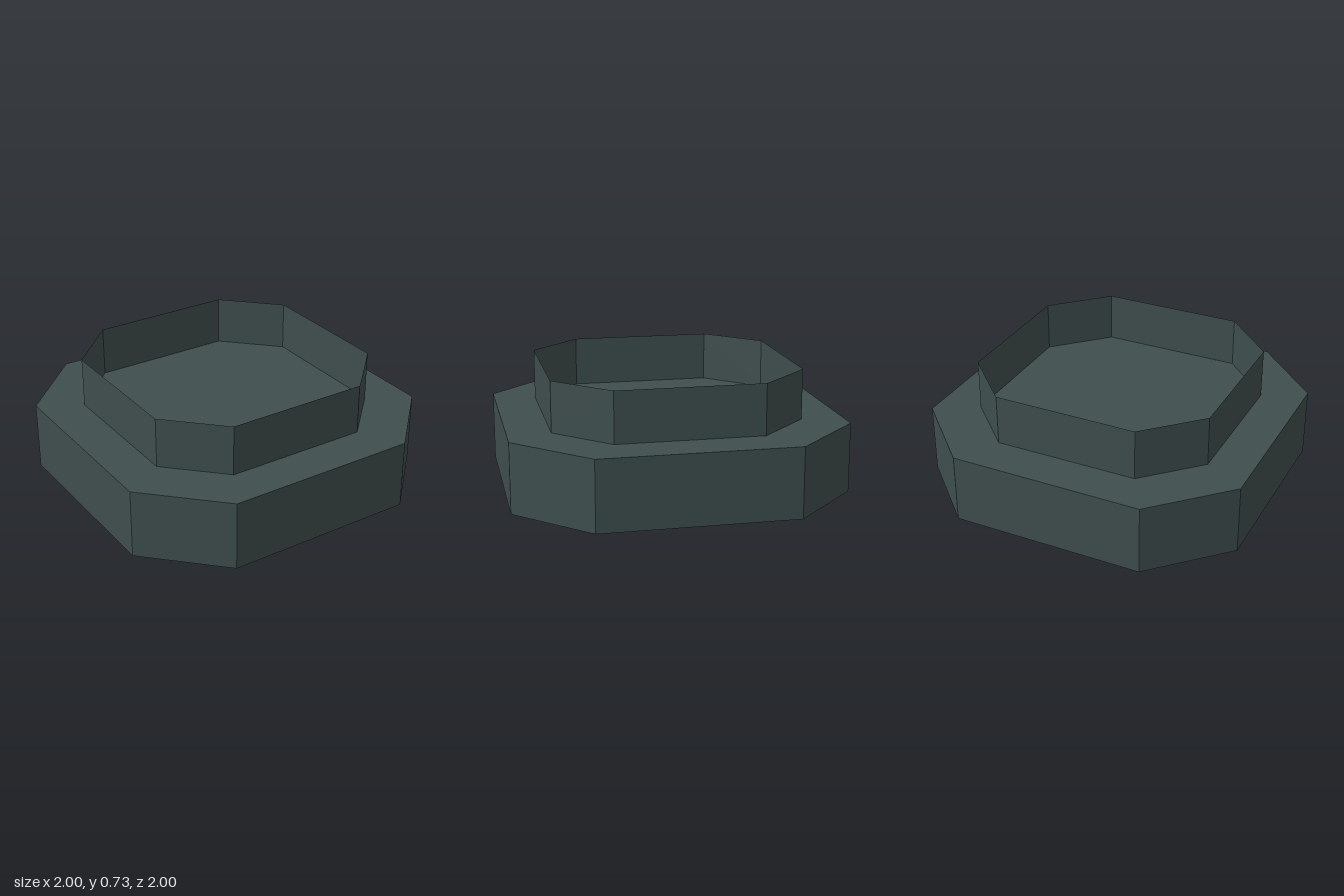
import * as THREE from 'three';

// Square with cut corners, counter-clockwise seen from above; r = half width, f = half flat side
function octagon(r, f) {
  return [[r, -f], [r, f], [f, r], [-f, r], [-r, f], [-r, -f], [-f, -r], [f, -r]]
    .map(([x, y]) => new THREE.Vector2(x, y));
}

// Open band of flat, outward-facing panels between two heights
function bandGeometry(points, y0, y1) {
  const positions = [];
  points.forEach((a, i) => {
    const b = points[(i + 1) % points.length];
    positions.push(
      a.x, y0, -a.y, b.x, y0, -b.y, b.x, y1, -b.y,
      a.x, y0, -a.y, b.x, y1, -b.y, a.x, y1, -a.y);
  });
  const geometry = new THREE.BufferGeometry();
  geometry.setAttribute('position', new THREE.Float32BufferAttribute(positions, 3));
  geometry.computeVertexNormals();
  return geometry;
}

// Horizontal sheet, optionally with an opening
function sheetGeometry(points, y, hole) {
  const shape = new THREE.Shape(points);
  if (hole) shape.holes.push(new THREE.Path(hole));
  return new THREE.ShapeGeometry(shape).rotateX(-Math.PI / 2).translate(0, y, 0);
}

export function createModel() {
  const group = new THREE.Group();
  const slate = new THREE.MeshStandardMaterial({ color: 0x3f4e4e, side: THREE.DoubleSide });
  slate.name = 'dark slate';

  const add = (name, geometry) => {
    const mesh = new THREE.Mesh(geometry, slate);
    mesh.name = name;
    group.add(mesh);
  };

  const outer = octagon(1, 0.583);
  const inner = octagon(0.745, 0.435);
  const deckY = 0.42;
  const rimY = 0.725;

  add('baseWall', bandGeometry(outer, 0, deckY)); // hollow, open underneath
  add('ledge', sheetGeometry(outer, deckY, inner));
  add('basinFloor', sheetGeometry(inner, deckY));
  add('rimWall', bandGeometry(inner, deckY, rimY)); // open on top
  return group;
}
